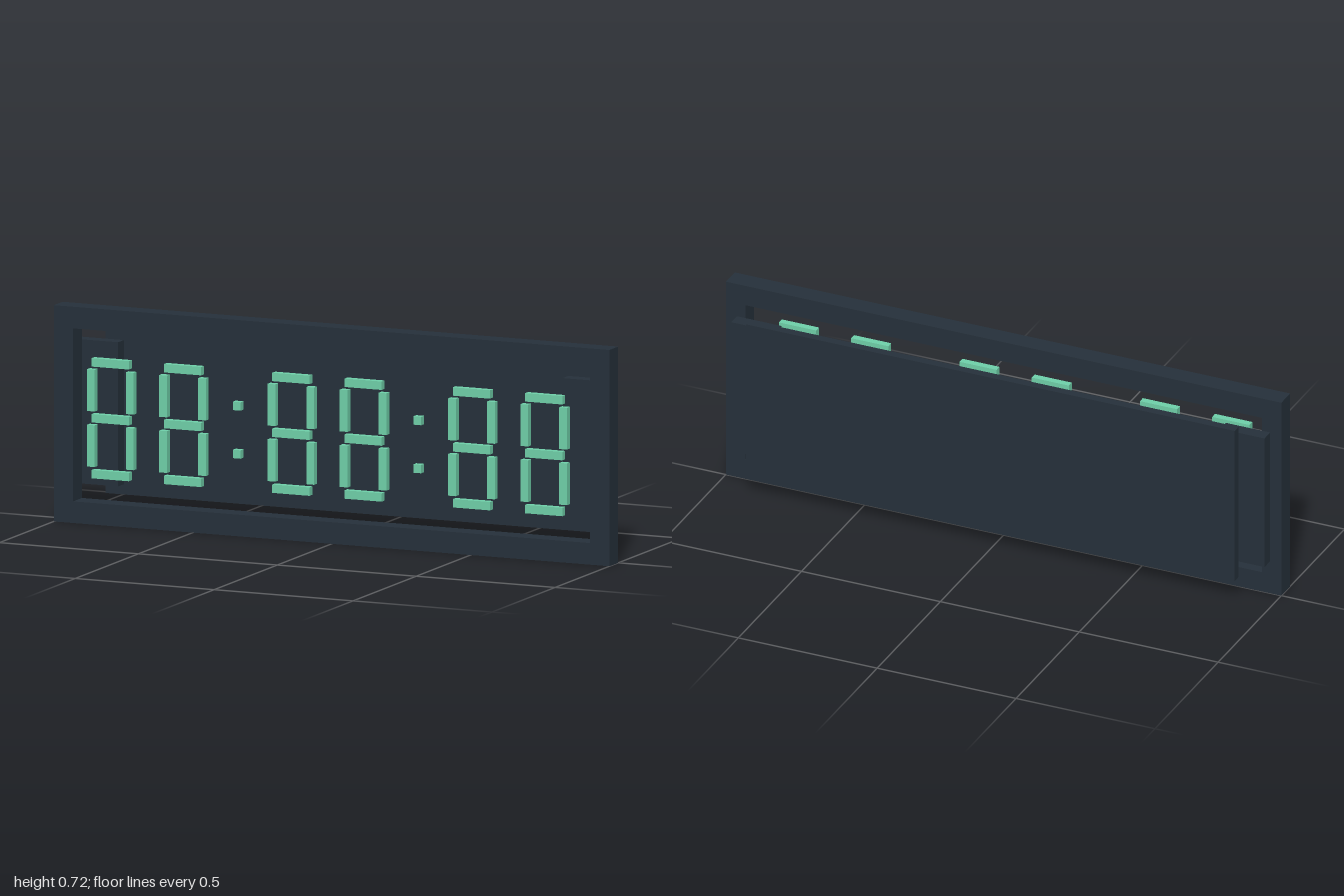
import * as THREE from 'three';

export function createModel() {
  const model = new THREE.Group();
  model.name = 'digitalClock';

  const casing = new THREE.MeshStandardMaterial({ color: 0x25303a });
  casing.name = 'dark casing';
  const lit = new THREE.MeshStandardMaterial({ color: 0x6ecfa8 });
  lit.name = 'green segment';

  const box = (parent, name, material, w, h, d, x, y, z) => {
    const mesh = new THREE.Mesh(new THREE.BoxGeometry(w, h, d), material);
    mesh.name = name;
    mesh.position.set(x, y, z);
    parent.add(mesh);
  };

  // Open rectangular frame
  const outline = new THREE.Shape();
  outline.moveTo(-1, 0).lineTo(1, 0).lineTo(1, 0.72).lineTo(-1, 0.72).closePath();
  const opening = new THREE.Path();
  opening.moveTo(-0.93, 0.072).lineTo(-0.93, 0.648).lineTo(0.93, 0.648).lineTo(0.93, 0.072).closePath();
  outline.holes.push(opening);
  const frame = new THREE.Mesh(
    new THREE.ExtrudeGeometry(outline, { depth: 0.07, bevelEnabled: false }), casing);
  frame.name = 'frame';
  model.add(frame);

  // Back panel, and a mounting block behind each end of the frame
  box(model, 'backPanel', casing, 1.76, 0.56, 0.03, 0, 0.36, -0.09);
  for (const side of [-1, 1]) {
    box(model, side > 0 ? 'leftBlock' : 'rightBlock', casing,
      0.16, 0.48, 0.045, side * 0.88, 0.36, -0.0225);
  }

  // Six seven-segment digits
  const zFace = 0.095, depth = 0.023;
  [-0.78, -0.52, -0.13, 0.13, 0.52, 0.78].forEach((x, i) => {
    const digit = new THREE.Group();
    digit.name = `digit${i + 1}`;
    digit.position.set(x, 0.361, zFace);
    model.add(digit);
    for (const y of [-0.186, 0, 0.186]) {
      box(digit, 'horizontalSegment', lit, 0.134, 0.028, depth, 0, y, 0);
    }
    for (const sx of [-1, 1]) {
      for (const sy of [-1, 1]) {
        box(digit, 'verticalSegment', lit, 0.028, 0.139, depth, sx * 0.07, sy * 0.0925, 0);
      }
    }
  });

  // Two colons between the pairs of digits
  for (const x of [-0.325, 0.325]) {
    for (const y of [0.28, 0.44]) {
      box(model, 'colonDot', lit, 0.028, 0.028, depth, x, y, zFace);
    }
  }

  return model;
}
